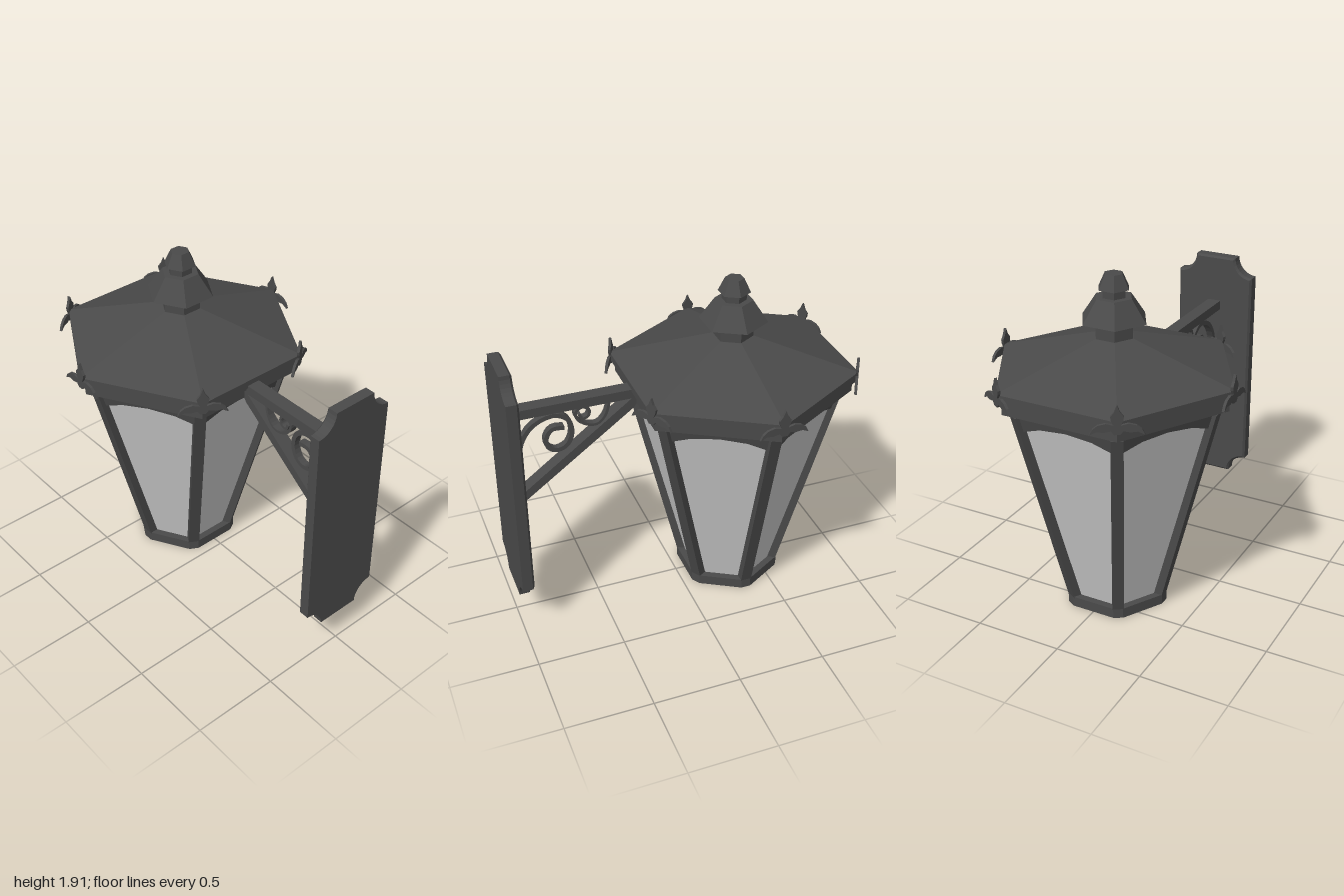
import * as THREE from 'three';

const V2 = (p) => new THREE.Vector2(p[0], p[1]);
const dark = new THREE.MeshStandardMaterial({ color: 0x4a4a4a, flatShading: true });
const glassMat = new THREE.MeshStandardMaterial({ color: 0xcccccc, flatShading: true, side: THREE.DoubleSide });

function add(parent, name, geometry, material = dark) {
  const mesh = new THREE.Mesh(geometry, material);
  mesh.name = name;
  parent.add(mesh);
  return mesh;
}

// Six-sided turned solid with corners on the x axis; profile runs bottom to top
const hexLathe = (profile) => new THREE.LatheGeometry(profile.map(V2), 6, Math.PI / 2);

const extrude = (shape, depth, extra = {}) =>
  new THREE.ExtrudeGeometry(shape, { depth, bevelEnabled: false, curveSegments: 4, ...extra });

// Outline drawn in (z, y), given a width along x
function sideways(points, width) {
  return extrude(new THREE.Shape(points.map(V2)), width)
    .translate(0, 0, -width / 2)
    .rotateY(-Math.PI / 2);
}

// Flat iron strip following a curve in the (z, y) plane
function ribbon(points, thickness, width, segments) {
  const curve = new THREE.SplineCurve(points.map(V2));
  const outer = [], inner = [];
  for (let i = 0; i <= segments; i++) {
    const p = curve.getPoint(i / segments), t = curve.getTangent(i / segments);
    const dx = -t.y * thickness / 2, dy = t.x * thickness / 2;
    outer.push([p.x + dx, p.y + dy]);
    inner.unshift([p.x - dx, p.y - dy]);
  }
  return sideways([...outer, ...inner], width);
}

// Hexagon with cut corners
function cutHexagon(radius, cut) {
  const points = [];
  for (let k = 0; k < 6; k++) {
    for (const side of [-1, 1]) {
      const p = new THREE.Vector2(radius - cut, side * cut * Math.sqrt(3));
      points.push(p.rotateAround(new THREE.Vector2(), k * Math.PI / 3));
    }
  }
  return new THREE.Shape(points);
}

// Wall plate outline with scooped corners
function plateShape() {
  const w = 0.24, lo = 0.205, hi = 1.645, r = 0.112, q = Math.PI / 2;
  const s = new THREE.Shape();
  s.moveTo(-w + r, lo);
  s.lineTo(w - r, lo);
  s.absarc(w, lo, r, 2 * q, q, true);
  s.absarc(w, hi, r, 3 * q, 2 * q, true);
  s.absarc(-w, hi, r, 0, -q, true);
  s.absarc(-w, lo, r, q, 0, true);
  return s;
}

// Three-leafed corner ornament
function leafShape() {
  const half = [[0, 0.12], [0.014, 0.085], [0.033, 0.06], [0.03, 0.04], [0.018, 0.015], [0.055, 0.025],
    [0.095, 0.015], [0.12, -0.005], [0.135, -0.035], [0.1, -0.018], [0.065, -0.022], [0.03, -0.015], [0.015, -0.035]];
  const mirrored = half.slice(1).reverse().map(([x, y]) => [-x, y]);
  return new THREE.Shape([...half, ...mirrored].map(V2));
}

export function createModel() {
  const model = new THREE.Group();
  model.name = 'wallLantern';

  // Wall plate, chamfered on the lantern side
  const plate = new THREE.Group();
  plate.name = 'wallPlate';
  model.add(plate);
  add(plate, 'plateBack', extrude(plateShape(), 0.045)).position.z = 0.955;
  add(plate, 'plateFront', extrude(plateShape(), 0.018, {
    bevelEnabled: true, bevelThickness: 0.012, bevelSize: 0.012, bevelOffset: -0.012, bevelSegments: 1,
  })).position.z = 0.942;

  // Bracket: arm, brace and two scrolls
  const bracket = new THREE.Group();
  bracket.name = 'bracket';
  model.add(bracket);
  add(bracket, 'arm', sideways([[0.94, 1.31], [0.94, 1.365], [0.23, 1.365], [0.23, 1.31]], 0.08));
  add(bracket, 'brace', sideways([[0.94, 0.75], [0.94, 0.81], [0.25, 1.325], [0.22, 1.3], [0.26, 1.25]], 0.08));
  add(bracket, 'largeScroll', ribbon([[0.9, 0.8], [0.91, 1.02], [0.89, 1.15], [0.82, 1.245], [0.71, 1.283],
    [0.63, 1.245], [0.607, 1.16], [0.635, 1.085], [0.695, 1.06], [0.745, 1.09], [0.752, 1.15],
    [0.715, 1.198], [0.65, 1.195]], 0.026, 0.04, 36));
  add(bracket, 'smallScroll', ribbon([[0.388, 1.32], [0.41, 1.235], [0.455, 1.182], [0.515, 1.185], [0.57, 1.225],
    [0.583, 1.275], [0.545, 1.302], [0.507, 1.28], [0.513, 1.24], [0.548, 1.23], [0.562, 1.262]], 0.016, 0.04, 32));

  const lantern = new THREE.Group();
  lantern.name = 'lantern';
  lantern.position.z = -0.335;
  model.add(lantern);

  // Base and glass
  add(lantern, 'base', extrude(cutHexagon(0.321, 0.016), 0.06).rotateX(-Math.PI / 2));
  const glass = { bottom: 0.275, top: 0.59, low: 0.06, high: 1.25 };
  add(lantern, 'glassPanes', new THREE.CylinderGeometry(glass.top, glass.bottom, glass.high - glass.low,
    6, 1, true, Math.PI / 2), glassMat).position.y = (glass.low + glass.high) / 2;

  // Crown moulding, roof and stacked chimney
  add(lantern, 'crown', hexLathe([[0, 1.25], [0.615, 1.25], [0.645, 1.275], [0.668, 1.275], [0.668, 1.33],
    [0.685, 1.33], [0.685, 1.36], [0, 1.36]]));
  add(lantern, 'roof', hexLathe([[0, 1.35], [0.698, 1.35], [0.698, 1.395], [0.115, 1.57], [0, 1.57]]));
  add(lantern, 'chimney', hexLathe([[0.112, 1.56], [0.112, 1.66], [0.19, 1.66], [0.105, 1.785],
    [0.068, 1.785], [0.068, 1.83], [0.09, 1.83], [0.052, 1.91], [0, 1.91]]));

  const cos30 = Math.cos(Math.PI / 6);
  const paneTilt = Math.atan((glass.top - glass.bottom) * cos30 / (glass.high - glass.low));
  const arch = new THREE.Shape([[-0.283, 1.129], [-0.15, 1.175], [0, 1.19], [0.15, 1.175],
    [0.283, 1.129], [0.295, 1.221], [-0.295, 1.221]].map(V2));
  for (let k = 0; k < 6; k++) {
    // Arched head over each pane
    const face = new THREE.Group();
    face.name = 'paneFace';
    face.rotation.y = k * Math.PI / 3;
    lantern.add(face);
    const head = add(face, 'paneArch', extrude(arch, 0.014));
    head.position.set(0, glass.low, glass.bottom * cos30);
    head.rotation.x = paneTilt;

    // Slanted post and leaf ornament on each corner
    const corner = new THREE.Group();
    corner.name = 'corner';
    corner.rotation.y = (k + 0.5) * Math.PI / 3;
    lantern.add(corner);
    const post = add(corner, 'post', new THREE.BoxGeometry(0.065, 1.24, 0.05));
    post.position.set(0, 0.655, 0.4325);
    post.rotation.x = Math.atan(0.305 / 1.19);
    add(corner, 'cornerLeaf', extrude(leafShape(), 0.015)).position.set(0, 1.365, 0.683);
  }
  return model;
}
